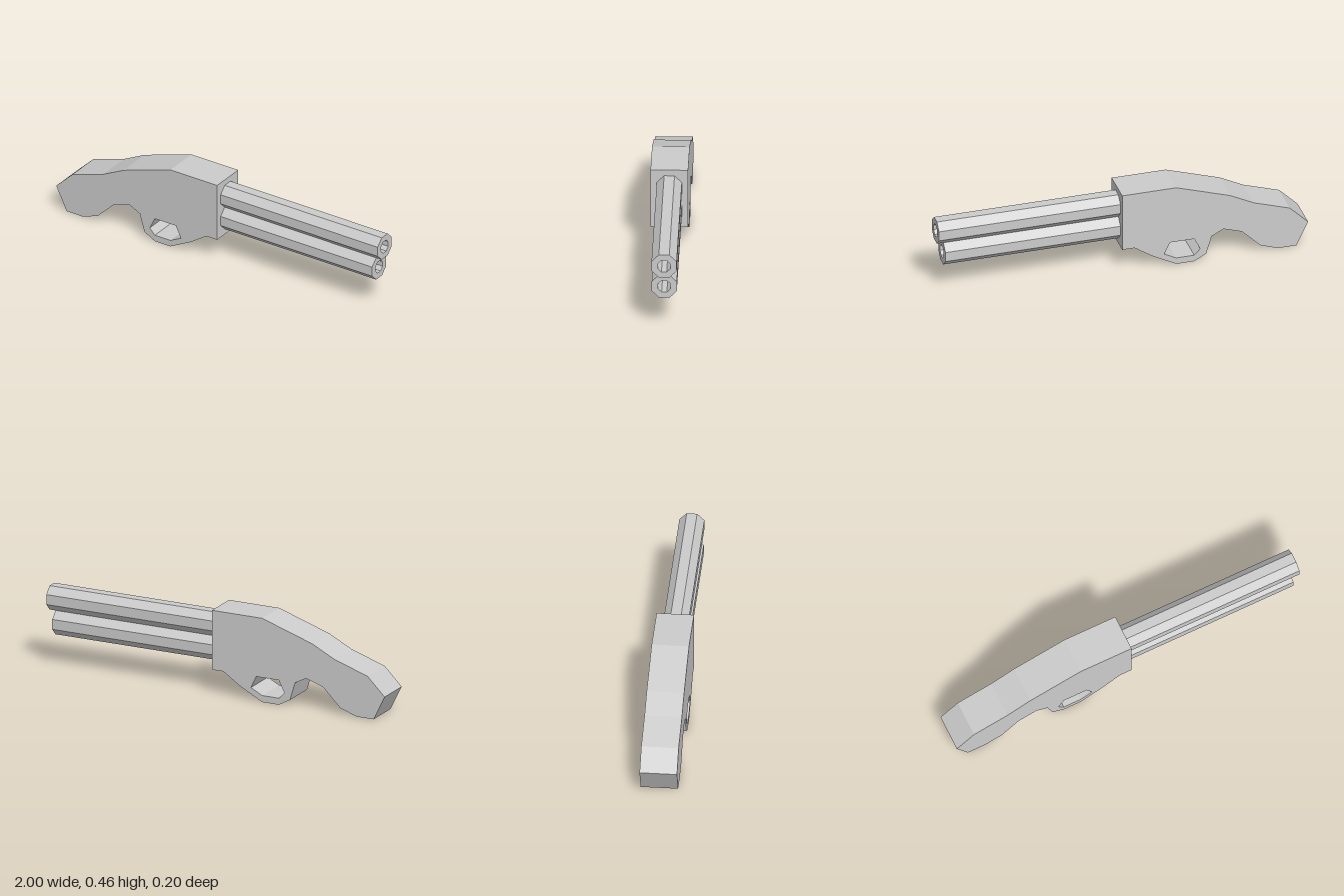
import * as THREE from 'three';

const material = new THREE.MeshStandardMaterial({ color: 0xcccccc, flatShading: true });
const points = (list) => list.map(([x, y]) => new THREE.Vector2(x, y));

// Octagon with flat sides up, down, left and right, given half its width
function octagon(half) {
  const r = half / Math.cos(Math.PI / 8);
  return Array.from({ length: 8 }, (_, i) => {
    const a = (i + 0.5) * Math.PI / 4;
    return new THREE.Vector2(r * Math.cos(a), r * Math.sin(a));
  });
}

function extrude(name, outline, hole, depth) {
  const shape = new THREE.Shape(outline);
  shape.holes.push(new THREE.Path(hole));
  const geometry = new THREE.ExtrudeGeometry(shape, { depth, bevelEnabled: false });
  const mesh = new THREE.Mesh(geometry, material);
  mesh.name = name;
  return mesh;
}

export function createModel() {
  const group = new THREE.Group();
  group.name = 'doubleBarrelGun';

  // Grip, receiver and trigger guard as one slab with the guard opening
  const outline = points([
    [-1, 0.135], [-0.935, 0.003], [-0.835, 0.003], [-0.74, 0.036], [-0.64, 0.135],
    [-0.54, 0.168], [-0.475, 0.135], [-0.445, 0.036], [-0.38, 0], [-0.282, 0],
    [-0.15, 0.07], [-0.055, 0.134], [0.012, 0.134], [0.012, 0.46], [-0.282, 0.46],
    [-0.575, 0.364], [-0.705, 0.298], [-0.9, 0.234],
  ]);
  const guardOpening = points([
    [-0.38, 0.135], [-0.248, 0.135], [-0.216, 0.07],
    [-0.282, 0.036], [-0.38, 0.036], [-0.412, 0.07],
  ]);
  const body = extrude('body', outline, guardOpening, 0.196);
  body.position.z = -0.098;
  group.add(body);

  // Two hollow octagonal barrels, the upper one slightly longer
  for (const [name, y, end] of [['upperBarrel', 0.362, 1], ['lowerBarrel', 0.231, 0.965]]) {
    const barrel = extrude(name, octagon(0.0655), octagon(0.033), end - 0.012);
    barrel.rotation.y = Math.PI / 2;
    barrel.position.set(0.012, y, 0);
    group.add(barrel);
  }
  return group;
}
